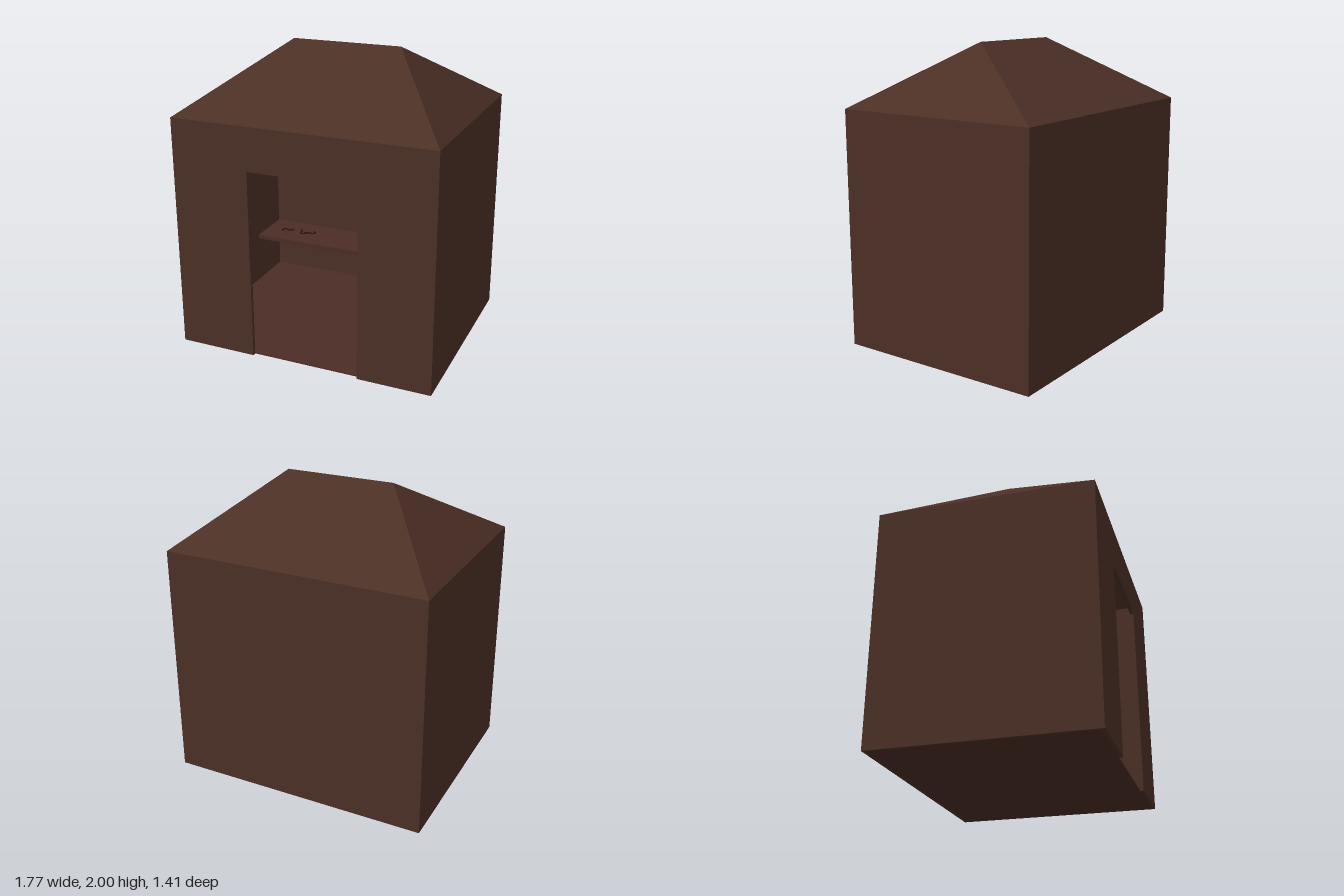
import * as THREE from 'three';

const mat = (name, color, double) => {
  const m = new THREE.MeshStandardMaterial({ color });
  m.name = name;
  if (double) m.side = THREE.DoubleSide;
  return m;
};

export function createModel() {
  const wood = mat('brown wood', 0x4c3026, true);
  const boards = mat('reddish boards', 0x4b2d25);
  const iron = mat('dark iron', 0x241815);

  const W = 0.885, D = 0.705, H = 1.58, T = 0.025; // half width, half depth, eaves height, wall thickness
  const group = new THREE.Group();
  group.name = 'shed';

  const add = (name, geometry, material, x = 0, y = 0, z = 0, parent = group) => {
    const mesh = new THREE.Mesh(geometry, material);
    mesh.name = name;
    mesh.position.set(x, y, z);
    parent.add(mesh);
    return mesh;
  };
  const box = (name, material, w, h, d, x, y, z, parent) =>
    add(name, new THREE.BoxGeometry(w, h, d), material, x, y, z, parent);

  // Front wall with an open doorway
  const outline = new THREE.Shape([
    [-W, 0], [-0.353, 0], [-0.353, 1.29], [0.39, 1.29], [0.39, 0], [W, 0], [W, H], [-W, H],
  ].map(([x, y]) => new THREE.Vector2(x, y)));
  add('frontWall', new THREE.ExtrudeGeometry(outline, { depth: T, bevelEnabled: false }), wood, 0, 0, D - T);

  // Back and side walls
  box('backWall', wood, 2 * W, H, T, 0, H / 2, -D + T / 2);
  for (const [name, s] of [['leftWall', 1], ['rightWall', -1]])
    box(name, wood, T, H, 2 * (D - T), s * (W - T / 2), H / 2, 0);

  // Hipped roof: four eave corners and two ridge ends
  const roof = new THREE.BufferGeometry();
  roof.setAttribute('position', new THREE.Float32BufferAttribute([
    -W, H, D, W, H, D, W, H, -D, -W, H, -D, -0.355, 2, 0, 0.39, 2, 0,
  ], 3));
  roof.setIndex([0, 1, 5, 0, 5, 4, 1, 2, 5, 2, 3, 4, 2, 4, 5, 3, 0, 4]);
  const flatRoof = roof.toNonIndexed();
  flatRoof.computeVertexNormals();
  add('roof', flatRoof, wood);

  // Floor and the shelf along the back wall
  box('floor', boards, 2 * (W - T), 0.008, 2 * (D - T), 0, 0.004, 0);
  box('shelf', boards, 2 * (W - T), 0.03, 0.37 - T, 0, 0.365, -D + T + (0.37 - T) / 2);

  // Small flat hooks lying on the shelf
  [[-0.715, -0.5, 0.4], [-0.56, -0.5, 2.2], [-0.49, -0.53, 3.6]].forEach(([x, z, turn], i) => {
    const hook = new THREE.Group();
    hook.name = 'shelfHook' + (i + 1);
    hook.position.set(x, 0.384, z);
    hook.rotation.y = turn;
    const bend = add('bend', new THREE.TorusGeometry(0.02, 0.005, 6, 12, Math.PI * 1.4), iron, 0, 0, 0, hook);
    bend.rotation.x = -Math.PI / 2;
    box('shank', iron, 0.05, 0.008, 0.009, 0.044, 0, 0, hook);
    group.add(hook);
  });

  // Tool hanging on the right wall, just inside the doorway
  const tool = new THREE.Group();
  tool.name = 'hangingTool';
  tool.position.set(-W + T + 0.008, 0.67, -0.12);
  box('handle', iron, 0.012, 0.16, 0.012, 0, 0.07, 0, tool);
  const loop = add('loop', new THREE.TorusGeometry(0.045, 0.007, 6, 16), iron, 0, -0.05, 0, tool);
  loop.rotation.y = Math.PI / 2;
  loop.scale.y = 1.4;
  group.add(tool);

  return group;
}
